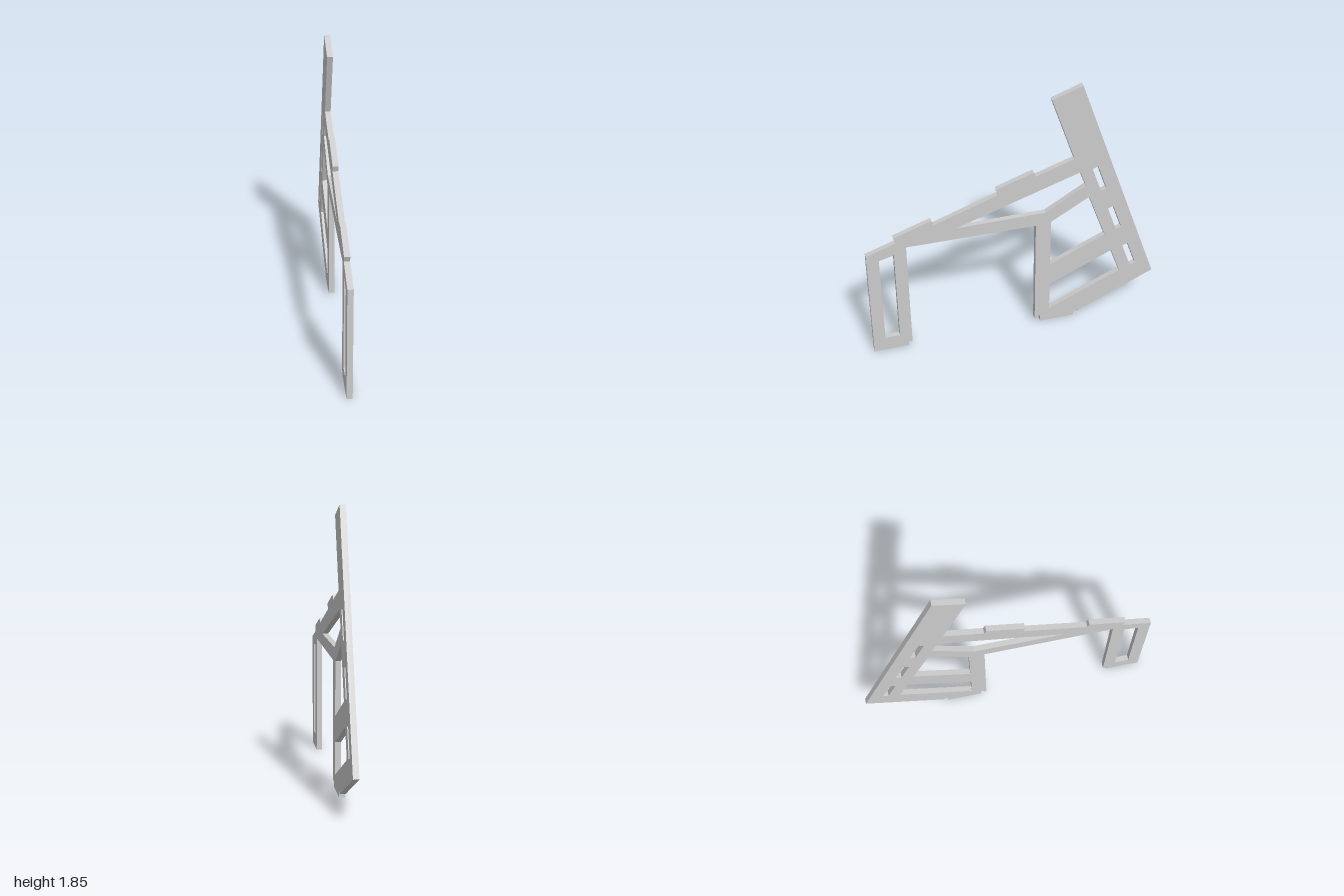
import * as THREE from 'three';

const THICKNESS = 0.038;
const points = (list) => list.map(([s, y]) => new THREE.Vector2(s, y));

// Profile is drawn with s running backwards (s = -z) and y up
function sidePanelShape() {
  const shape = new THREE.Shape();
  const lineTo = (list) => list.forEach(([s, y]) => shape.lineTo(s, y));

  // front leg, underside of the seat rail, rear leg
  shape.moveTo(-1, 0);
  lineTo([[-0.76, 0], [-0.76, 0.03], [-0.735, 0.03], [-0.735, 0.835],
    [0.14, 0.835], [0.14, 0.03], [0.157, 0.03]]);
  // rear foot between two rounded relief notches
  lineTo([[0.157, 0.038]]);
  shape.absarc(0.169, 0.038, 0.012, Math.PI, 0, true);
  lineTo([[0.181, 0], [0.426, 0], [0.426, 0.038]]);
  shape.absarc(0.438, 0.038, 0.012, Math.PI, 0, true);
  // sloping rear edge, back post, stepped seat rail
  lineTo([[0.45, 0.03], [1, 0.285], [0.435, 1.845], [0.235, 1.77], [0.395, 1.315],
    [0.135, 1.225], [0.122, 1.26], [-0.13, 1.17], [-0.117, 1.13],
    [-0.55, 0.973], [-0.562, 1.01], [-0.815, 0.92], [-0.8, 0.88], [-1, 0.81]]);
  shape.closePath();

  // large openings: front leg, under the seat, upper rear, lower rear
  const openings = [
    [[-0.918, 0.762], [-0.818, 0.787], [-0.818, 0.105], [-0.918, 0.105]],
    [[-0.4, 0.921], [0.438, 1.205], [0.48, 1.093], [0.207, 0.929], [-0.14, 0.924]],
    [[0.245, 0.846], [0.507, 1.0], [0.63, 0.667], [0.245, 0.488]],
    [[0.245, 0.316], [0.684, 0.522], [0.753, 0.335], [0.245, 0.1]],
  ];
  // three equal slots along the back post
  for (const [s, y] of [[0.574, 1.13], [0.696, 0.794], [0.8175, 0.461]]) {
    openings.push([[-1, 1], [1, 1], [1, -1], [-1, -1]].map(([a, b]) =>
      [s + a * 0.019 - b * 0.033, y + a * 0.007 + b * 0.092]));
  }
  for (const hole of openings) shape.holes.push(new THREE.Path(points(hole)));
  return shape;
}

export function createModel() {
  const group = new THREE.Group();
  group.name = 'chairSide';
  const geometry = new THREE.ExtrudeGeometry(sidePanelShape(), {
    depth: THICKNESS, bevelEnabled: false, curveSegments: 8,
  });
  // centre the thickness, then turn the profile into the yz plane
  geometry.translate(0, 0, -THICKNESS / 2);
  geometry.rotateY(Math.PI / 2);
  const panel = new THREE.Mesh(geometry, new THREE.MeshStandardMaterial({ color: 0xcccccc }));
  panel.name = 'sidePanel';
  group.add(panel);
  return group;
}
